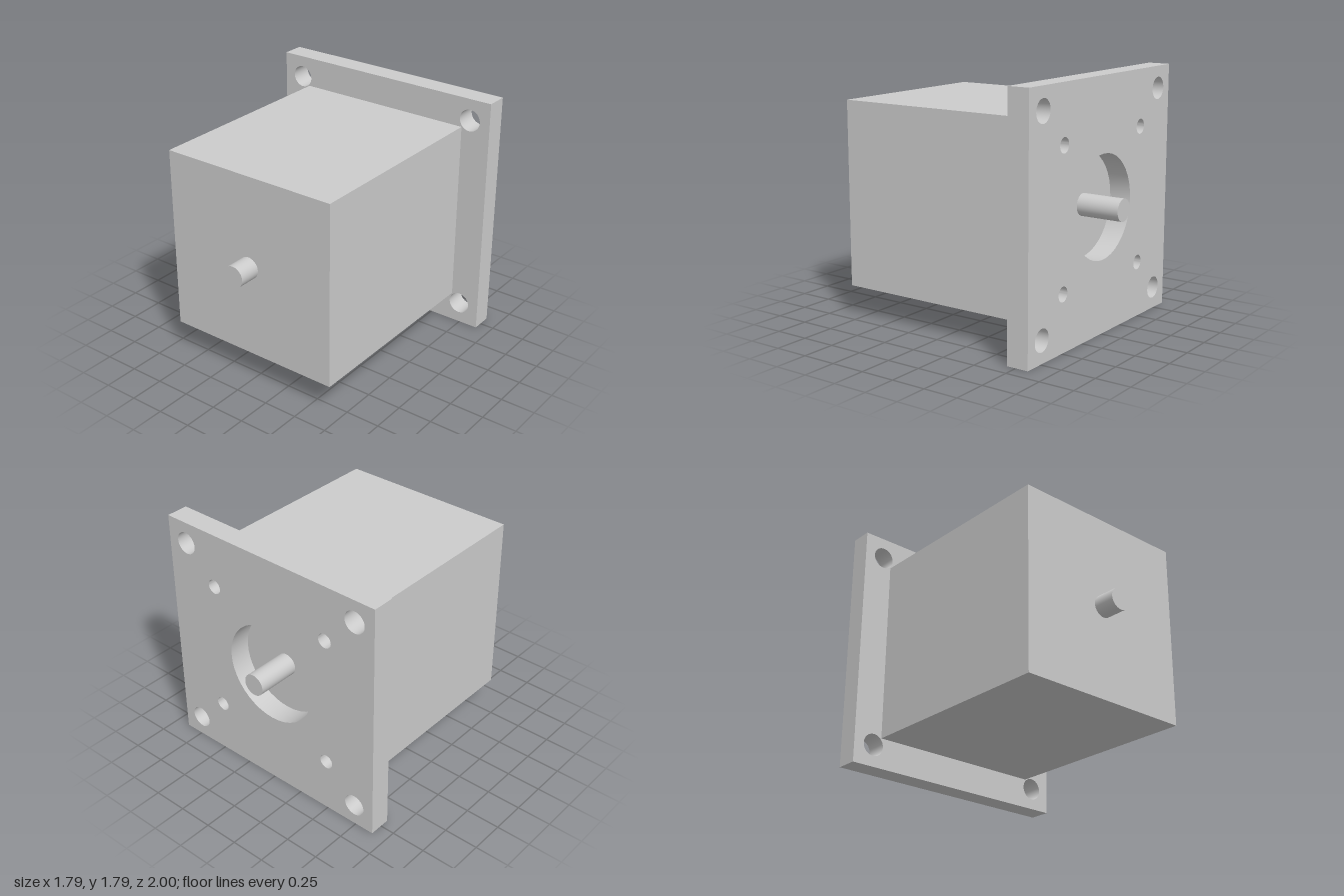
import * as THREE from 'three';
import { toCreasedNormals } from 'three/addons/utils/BufferGeometryUtils.js';

const MID = 0.893;      // height of the shaft axis
const HALF = 0.893;     // half width of the flange
const BACK = -0.842, FACE = -0.683, FRONT = 0.842; // z of flange back, flange front, body front

export function createModel() {
  const model = new THREE.Group();
  const material = new THREE.MeshStandardMaterial({ color: 0xcccccc });

  const add = (name, geometry, z) => {
    const mesh = new THREE.Mesh(geometry, material);
    mesh.name = name;
    mesh.position.set(0, MID, z);
    model.add(mesh);
  };

  // Square motor body
  add('body', new THREE.BoxGeometry(1.344, 1.344, FRONT - FACE), (FRONT + FACE) / 2);

  // Mounting flange with pilot bore, corner holes and small screw holes
  const plate = new THREE.Shape([
    new THREE.Vector2(-HALF, -HALF), new THREE.Vector2(HALF, -HALF),
    new THREE.Vector2(HALF, HALF), new THREE.Vector2(-HALF, HALF),
  ]);
  const drill = (x, y, r) => plate.holes.push(new THREE.Path().absarc(x, y, r, 0, Math.PI * 2, true));
  drill(0, 0, 0.367);
  for (const sx of [-1, 1]) for (const sy of [-1, 1]) {
    drill(sx * 0.735, sy * 0.735, 0.08);
    drill(sx * 0.49, sy * 0.49, 0.053);
  }
  const flange = new THREE.ExtrudeGeometry(plate, { depth: FACE - BACK, bevelEnabled: false, curveSegments: 20 });
  add('flange', toCreasedNormals(flange, 0.6), BACK);

  // Output shaft at the back (starting at the body face) and stub shaft at the front
  for (const [name, z0, z1] of [['rearShaft', -1, FACE], ['frontShaft', FRONT, 1]]) {
    const shaft = new THREE.CylinderGeometry(0.079, 0.079, z1 - z0, 40).rotateX(Math.PI / 2);
    add(name, shaft, (z0 + z1) / 2);
  }

  return model;
}
